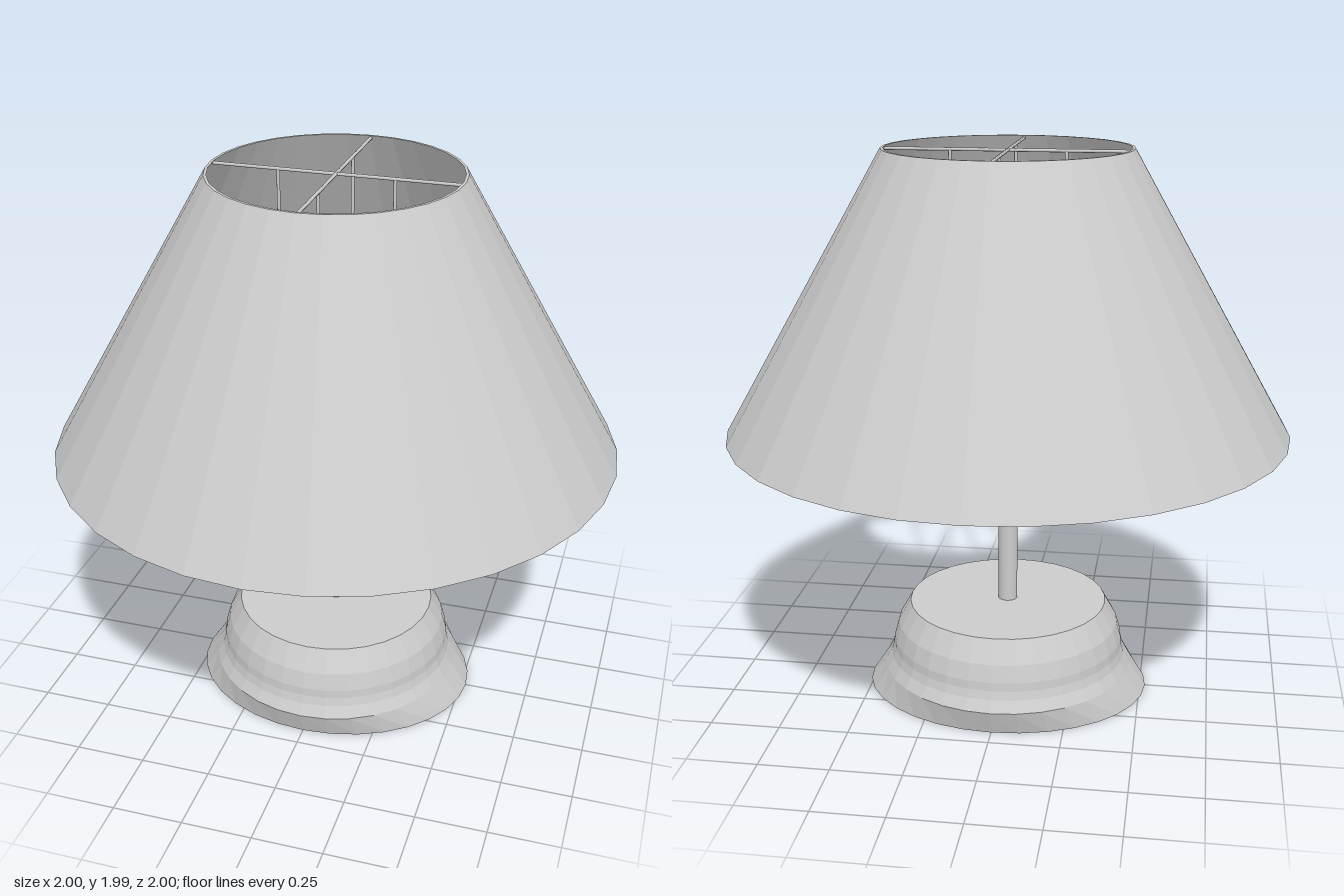
import * as THREE from 'three';

const SIDES = 32;
const flat = new THREE.MeshStandardMaterial({ color: 0xcccccc, flatShading: true, side: THREE.DoubleSide });
const smooth = new THREE.MeshStandardMaterial({ color: 0xcccccc });

const points = (list) => list.map(([r, y]) => new THREE.Vector2(r, y));

export function createModel() {
  const lamp = new THREE.Group();
  lamp.name = 'tableLamp';

  const add = (name, geometry, material, x = 0, y = 0, z = 0) => {
    const mesh = new THREE.Mesh(geometry, material);
    mesh.name = name;
    mesh.position.set(x, y, z);
    lamp.add(mesh);
    return mesh;
  };

  // Turned base: round above, with its foot drawn out to an oval along x
  const base = new THREE.LatheGeometry(points([
    [0, 0], [0.475, 0], [0.46, 0.09], [0.437, 0.13], [0.428, 0.16],
    [0.425, 0.19], [0.408, 0.25], [0.363, 0.33], [0, 0.33],
  ]), SIDES);
  const p = base.attributes.position;
  for (let i = 0; i < p.count; i++) {
    if (p.getY(i) < 0.01) {
      p.setX(i, p.getX(i) * 0.52 / 0.475);
      p.setZ(i, p.getZ(i) * 0.43 / 0.475);
    }
  }
  base.computeVertexNormals();
  add('base', base, flat);

  // Stem, socket and bulb
  add('stem', new THREE.CylinderGeometry(0.035, 0.035, 0.84, 24), smooth, 0, 0.74, 0);
  add('socket', new THREE.CylinderGeometry(0.055, 0.04, 0.1, 24), smooth, 0, 1.2, 0);
  add('bulb', new THREE.SphereGeometry(0.107, 32, 20), smooth, 0, 1.33, 0);

  // Thin-walled conical shade
  add('shade', new THREE.LatheGeometry(points([
    [1, 1], [0.434, 1.99], [0.424, 1.99], [0.988, 1], [1, 1],
  ]), SIDES), flat);

  // Wire carrier: ring and spokes by the socket, uprights, and cross bars at the top
  const ringY = 1.14, ringR = 0.2, topY = 1.98, wire = 0.006;
  const ring = add('carrierRing', new THREE.TorusGeometry(ringR, 0.007, 8, SIDES), smooth, 0, ringY, 0);
  ring.rotation.x = Math.PI / 2;

  for (const turn of [0, Math.PI / 2]) {
    for (const [name, length, y] of [['carrierSpoke', 2 * ringR, ringY], ['topCrossBar', 0.86, topY]]) {
      const bar = add(name, new THREE.CylinderGeometry(wire, wire, length, 8), smooth, 0, y, 0);
      bar.rotation.set(0, turn, Math.PI / 2);
    }
  }
  for (let i = 0; i < 4; i++) {
    const a = i * Math.PI / 2;
    add('upright', new THREE.CylinderGeometry(wire, wire, topY - ringY, 8), smooth,
      ringR * Math.cos(a), (topY + ringY) / 2, ringR * Math.sin(a));
  }

  return lamp;
}
